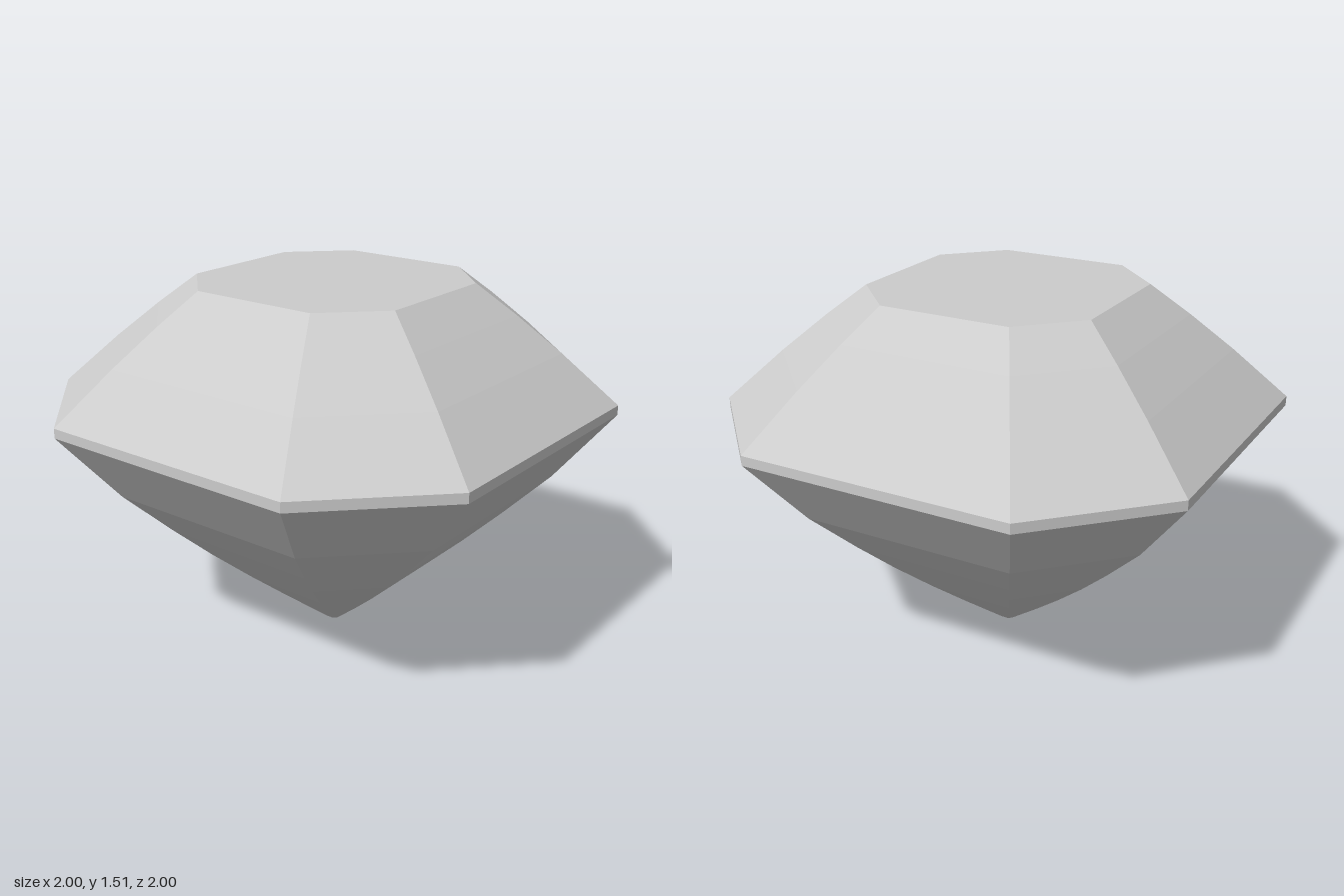
import * as THREE from 'three';

const CUT = 0.56; // half length of each main side, relative to the half width

// Square with cut corners, counter-clockwise seen from above
const outline = (r) => [
  [1, -CUT], [1, CUT], [CUT, 1], [-CUT, 1],
  [-1, CUT], [-1, -CUT], [-CUT, -1], [CUT, -1],
].map(([x, y]) => new THREE.Vector2(x * r, y * r));

// Faceted bands joining rings given as [half width, height], bottom to top
function facets(rings) {
  const positions = [];
  for (let k = 0; k < rings.length - 1; k++) {
    const [low, high] = [rings[k], rings[k + 1]].map(([r, y]) =>
      outline(r).map((p) => [p.x, y, -p.y]));
    for (let i = 0; i < 8; i++) {
      const j = (i + 1) % 8;
      positions.push(...low[i], ...low[j], ...high[j], ...low[i], ...high[j], ...high[i]);
    }
  }
  const geometry = new THREE.BufferGeometry();
  geometry.setAttribute('position', new THREE.Float32BufferAttribute(positions, 3));
  geometry.computeVertexNormals();
  return geometry;
}

// Flat end face, facing up (+1) or down (-1)
function cap(r, y, facing) {
  return new THREE.ShapeGeometry(new THREE.Shape(outline(r)))
    .rotateX(-facing * Math.PI / 2).translate(0, y, 0);
}

export function createModel() {
  const gem = new THREE.Group();
  gem.name = 'gem';
  const material = new THREE.MeshStandardMaterial({ color: 0xcccccc, flatShading: true });
  const add = (name, geometry) => {
    const mesh = new THREE.Mesh(geometry, material);
    mesh.name = name;
    gem.add(mesh);
  };

  // Pointed lower half, steepest near the girdle
  add('culet', cap(0.03, 0, -1));
  add('pavilion', facets([
    [0.03, 0], [0.19, 0.137], [0.335, 0.265], [0.48, 0.4], [0.62, 0.54], [0.79, 0.72], [1, 1],
  ]));
  // Thin vertical band at the widest point
  add('girdle', facets([[1, 1], [1, 1.04]]));
  // Sloping upper half and its flat top
  add('crown', facets([[1, 1.04], [0.795, 1.245], [0.635, 1.392], [0.49, 1.515]]));
  add('table', cap(0.49, 1.515, 1));

  return gem;
}
